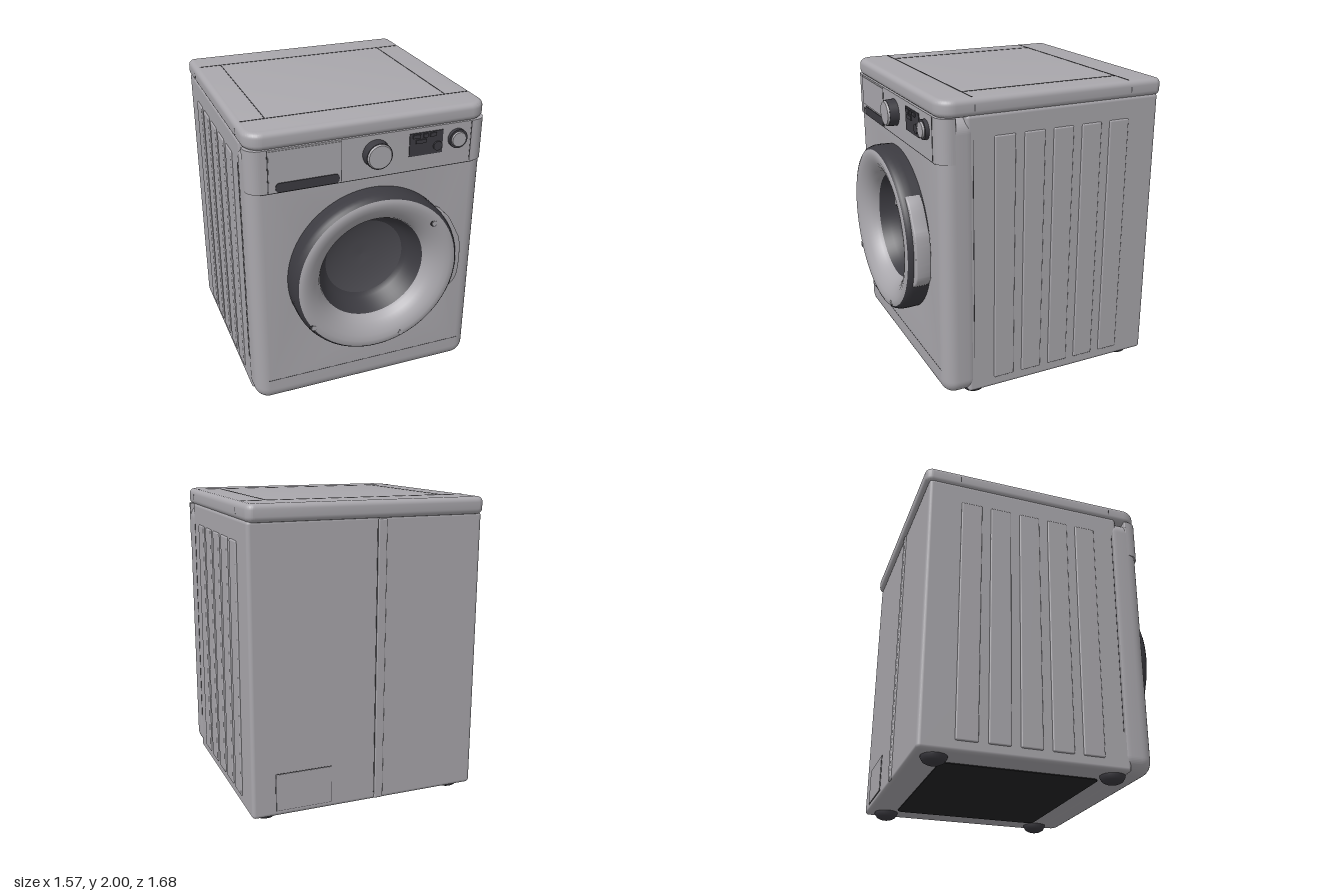
import * as THREE from 'three';
import { RoundedBoxGeometry } from 'three/addons/geometries/RoundedBoxGeometry.js';
import { toCreasedNormals } from 'three/addons/utils/BufferGeometryUtils.js';

const mat = (name, color, side = THREE.FrontSide) => {
  const m = new THREE.MeshStandardMaterial({ color, side });
  m.name = name;
  return m;
};

// Rectangle with its own corner radius at the low-y and high-y ends
function roundRect(x0, x1, y0, y1, rLow, rHigh = rLow) {
  const s = new THREE.Shape();
  s.moveTo(x0 + rLow, y0);
  s.lineTo(x1 - rLow, y0);
  s.absarc(x1 - rLow, y0 + rLow, rLow, -Math.PI / 2, 0, false);
  s.lineTo(x1, y1 - rHigh);
  s.absarc(x1 - rHigh, y1 - rHigh, rHigh, 0, Math.PI / 2, false);
  s.lineTo(x0 + rHigh, y1);
  s.absarc(x0 + rHigh, y1 - rHigh, rHigh, Math.PI / 2, Math.PI, false);
  s.lineTo(x0, y0 + rLow);
  s.absarc(x0 + rLow, y0 + rLow, rLow, Math.PI, Math.PI * 1.5, false);
  return s;
}

// Extrusion whose bevel stays inside the outline and inside the depth
function extrude(shape, depth, bevel = 0, segments = 5) {
  const g = new THREE.ExtrudeGeometry(shape, {
    depth: depth - 2 * bevel, bevelEnabled: bevel > 0, bevelSize: bevel,
    bevelThickness: bevel, bevelOffset: -bevel, bevelSegments: segments, curveSegments: 24,
  });
  g.translate(0, 0, bevel);
  return toCreasedNormals(g, 0.6);
}

export function createModel() {
  const root = new THREE.Group();
  root.name = 'washingMachine';
  const casing = mat('casing grey', 0xa9a7ac, THREE.DoubleSide);
  const dark = mat('dark trim', 0x3c3b41, THREE.DoubleSide);
  const glassMat = mat('door glass grey', 0x4b4a50, THREE.DoubleSide);
  const seamMat = mat('seam grey', 0x4a494d);
  const black = mat('underside black', 0x242426);

  const add = (name, geo, m, x = 0, y = 0, z = 0, parent = root) => {
    const mesh = new THREE.Mesh(geo, m);
    mesh.name = name;
    mesh.position.set(x, y, z);
    parent.add(mesh);
    return mesh;
  };
  const box = (name, m, x0, x1, y0, y1, z0, z1, r = 0) => {
    const size = [x1 - x0, y1 - y0, z1 - z0];
    const g = r ? new RoundedBoxGeometry(...size, 3, r) : new THREE.BoxGeometry(...size);
    return add(name, g, m, (x0 + x1) / 2, (y0 + y1) / 2, (z0 + z1) / 2);
  };
  // Disc or drum facing +z with its back at z
  const drum = (name, m, x, y, z, r, depth, rFront = r, parent = root) =>
    add(name, new THREE.CylinderGeometry(rFront, r, depth, 40).rotateX(Math.PI / 2), m, x, y, z + depth / 2, parent);
  const lathe = (pts) =>
    new THREE.LatheGeometry(pts.map(([r, h]) => new THREE.Vector2(r, h)), 80).rotateX(Math.PI / 2);

  // Cabinet, and front panel with the door opening
  box('cabinet', casing, -0.775, 0.775, 0.05, 1.9, -0.81, 0.53, 0.025);
  const front = roundRect(-0.78, 0.78, 0.05, 1.89, 0.1);
  const opening = new THREE.Path();
  opening.absarc(0.01, 0.98, 0.4, 0, Math.PI * 2, true);
  front.holes.push(opening);
  add('frontPanel', extrude(front, 0.25, 0.09, 8), casing, 0, 0, 0.44);
  box('plinthSeam', seamMat, -0.7, 0.7, 0.217, 0.221, 0.685, 0.691);

  // Control panel, rounded at the front corners in plan
  const plan = roundRect(-0.78, 0.78, 0.595, 0.7, 0.005, 0.085);
  add('controlPanel', extrude(plan, 0.275).rotateX(Math.PI / 2), casing, 0, 1.89, 0);
  box('controlPanelSeam', seamMat, -0.7, 0.7, 1.609, 1.616, 0.685, 0.699);
  for (const x of [-0.655, -0.198, 0.67])
    box('controlSeam', seamMat, x - 0.003, x + 0.003, 1.62, 1.885, 0.697, 0.702);
  box('drawerFront', casing, -0.65, -0.2, 1.685, 1.88, 0.696, 0.704);
  add('drawerHandle', extrude(roundRect(-0.61, -0.21, 1.615, 1.675, 0.025), 0.009), dark, 0, 0, 0.697);

  // Programme knob, display with buttons, small knob
  drum('knobSkirt', dark, 0.025, 1.77, 0.69, 0.088, 0.07, 0.084);
  drum('knobCap', casing, 0.025, 1.77, 0.76, 0.08, 0.012, 0.074);
  box('display', dark, 0.245, 0.47, 1.71, 1.86, 0.697, 0.706);
  for (const [x, y, w] of [[0.29, 1.84, 0.05], [0.35, 1.84, 0.03], [0.4, 1.84, 0.04], [0.32, 1.805, 0.07]])
    box('displayButton', dark, x - w / 2, x + w / 2, y - 0.012, y + 0.012, 0.704, 0.714);
  drum('displayDial', dark, 0.435, 1.76, 0.704, 0.03, 0.012);
  drum('startKnobRing', dark, 0.57, 1.79, 0.69, 0.062, 0.035);
  drum('startKnobCap', casing, 0.57, 1.79, 0.72, 0.05, 0.018, 0.046);

  // Door: dark rim, dished ring, bowl and glass
  const door = new THREE.Group();
  door.name = 'door';
  door.position.set(0.01, 0.98, 0);
  root.add(door);
  add('doorRim', lathe([[0.56, 0.68], [0.562, 0.75], [0.56, 0.79], [0.55, 0.82], [0.535, 0.834]]), dark, 0, 0, 0, door);
  add('doorRing', lathe([[0.537, 0.832], [0.52, 0.839], [0.495, 0.84], [0.46, 0.83], [0.42, 0.808],
    [0.385, 0.778], [0.365, 0.745], [0.358, 0.72]]), casing, 0, 0, 0, door);
  add('doorBowl', lathe([[0.358, 0.72], [0.33, 0.66], [0.3, 0.61], [0.27, 0.59]]), dark, 0, 0, 0, door);
  add('doorGlass', lathe([[0.27, 0.59], [0.2, 0.565], [0.1, 0.55], [0.001, 0.545]]), glassMat, 0, 0, 0, door);
  for (const [x, y] of [[0.37, 0.31], [0.17, -0.48], [-0.44, -0.29]]) {
    drum('screwRing', dark, x, y, 0.822, 0.026, 0.016, 0.024, door);
    drum('screwHead', casing, x, y, 0.83, 0.019, 0.012, 0.017, door);
  }

  // Door handle bulging from the right edge of the rim
  const grip = new THREE.Shape();
  grip.moveTo(0.44, 1.34);
  grip.bezierCurveTo(0.51, 1.32, 0.54, 1.22, 0.585, 1.14);
  grip.bezierCurveTo(0.61, 1.08, 0.61, 0.92, 0.595, 0.84);
  grip.bezierCurveTo(0.58, 0.79, 0.55, 0.77, 0.51, 0.75);
  grip.lineTo(0.47, 0.95);
  grip.closePath();
  add('doorHandle', extrude(grip, 0.1, 0.01, 3), casing, 0, 0, 0.7);

  // Lid with seams around its inset panel
  const lidPlan = roundRect(-0.78, 0.78, -0.7, 0.835, 0.11, 0.05);
  add('lid', extrude(lidPlan, 0.11, 0.035, 6).rotateX(-Math.PI / 2), casing, 0, 1.885, 0);
  for (const z of [-0.6, 0.477]) {
    box('lidCrossSeam', seamMat, -0.745, 0.745, 1.99, 1.997, z - 0.003, z + 0.003);
    for (const s of [-1, 1])
      box('lidSideSeam', seamMat, s * 0.779 - 0.002, s * 0.779 + 0.002, 1.92, 1.96, z - 0.003, z + 0.003);
  }
  for (const x of [-0.595, 0.59])
    box('lidPanelSeam', seamMat, x - 0.003, x + 0.003, 1.99, 1.997, -0.6, 0.477);

  // Pressed ribs and a seam on both sides
  for (const s of [-1, 1]) {
    for (let i = 0; i < 5; i++)
      box('sideRib', casing, s * 0.775 - 0.01, s * 0.775 + 0.01, 0.12, 1.76, 0.21 - i * 0.2, 0.35 - i * 0.2, 0.009);
    box('sideSeam', seamMat, s * 0.775 - 0.002, s * 0.775 + 0.002, 0.3, 1.75, 0.486, 0.49);
  }

  // Back: vertical joint and access cover
  box('backJoint', casing, -0.11, -0.05, 0.06, 1.88, -0.82, -0.8, 0.009);
  box('backJointSeam', seamMat, -0.05, -0.046, 0.1, 1.88, -0.813, -0.805);
  box('accessCoverSeam', seamMat, 0.246, 0.624, 0.086, 0.334, -0.812, -0.804);
  box('accessCover', casing, 0.25, 0.62, 0.09, 0.33, -0.815, -0.806);

  // Underside and feet
  const base = extrude(roundRect(-0.58, 0.58, -0.4, 0.62, 0.04), 0.008).rotateX(-Math.PI / 2);
  add('basePlate', base, black, 0, 0.044, 0);
  const footGeo = new THREE.LatheGeometry(
    [[0.001, 0], [0.04, 0.002], [0.065, 0.015], [0.08, 0.04], [0.08, 0.07]].map(([r, y]) => new THREE.Vector2(r, y)), 28);
  for (const x of [-0.66, 0.66])
    for (const z of [0.45, -0.68]) add('foot', footGeo, dark, x, 0, z);

  return root;
}
